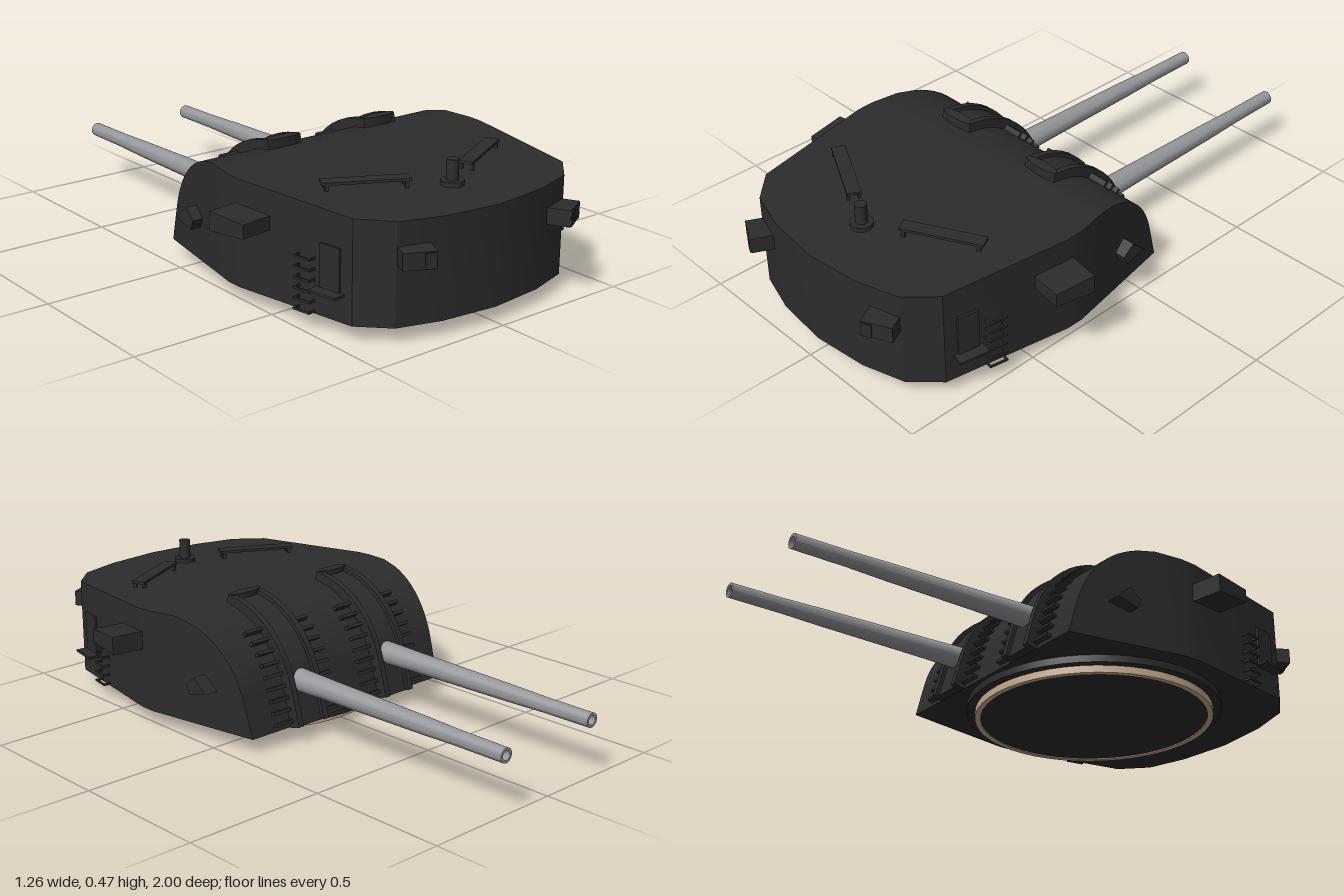
import * as THREE from 'three';
import { toCreasedNormals } from 'three/addons/utils/BufferGeometryUtils.js';

const mat = (name, color) => {
  const m = new THREE.MeshStandardMaterial({ color });
  m.name = name;
  return m;
};

export function createModel() {
  const root = new THREE.Group();
  root.name = 'twinGunTurret';
  const dark = mat('dark armour', 0x2c2c2c);
  const steel = mat('gun steel', 0x96979b);
  const tan = mat('tan ring', 0xc9ad90);
  dark.side = steel.side = tan.side = THREE.DoubleSide;

  const add = (name, geo, x = 0, y = 0, z = 0, parent = root, m = dark) => {
    const mesh = new THREE.Mesh(geo, m);
    mesh.name = name;
    mesh.position.set(x, y, z);
    parent.add(mesh);
    return mesh;
  };
  const box = (w, h, d) => new THREE.BoxGeometry(w, h, d);

  // Curved front face, from the lower lip up to the roof
  const face = new THREE.CatmullRomCurve3([
    [0.05, -0.13], [0.17, -0.095], [0.23, -0.073], [0.295, -0.033],
    [0.355, 0.03], [0.395, 0.11], [0.413, 0.2],
  ].map(([y, z]) => new THREE.Vector3(0, y, z)));

  // Half width of the armour along its length
  const plan = [[-0.13, 0.44], [0.3, 0.518], [0.36, 0.518], [0.81, 0.44],
    [0.9, 0.35], [0.945, 0.2], [0.966, 0]];
  const halfWidth = (z) => {
    const i = Math.max(1, plan.findIndex((p) => z <= p[0]));
    const [a, b] = [plan[i - 1], plan[i]];
    return a[1] + (b[1] - a[1]) * (z - a[0]) / (b[0] - a[0]);
  };

  // Armoured hull, lofted through upright sections
  const stations = face.getPoints(18).map((p) => [p.z, p.y]);
  for (const [z] of plan.slice(1)) stations.push([z, 0.413 - (z - 0.2) * 0.043]);
  const rings = stations.map(([z, y]) => {
    const w = halfWidth(z);
    return [[w, 0.05, z], [w, y, z], [-w, y, z], [-w, 0.05, z]];
  });
  const pos = [];
  for (let i = 0; i < rings.length - 1; i++) {
    for (let k = 0; k < 4; k++) {
      const n = (k + 1) % 4;
      const [a, b, c, d] = [rings[i][k], rings[i][n], rings[i + 1][n], rings[i + 1][k]];
      pos.push(...a, ...b, ...c, ...a, ...c, ...d);
    }
  }
  const hull = new THREE.BufferGeometry();
  hull.setAttribute('position', new THREE.Float32BufferAttribute(pos, 3));
  add('armourHull', toCreasedNormals(hull, 0.4));

  // Turning ring under the hull
  add('ringCollar', new THREE.CylinderGeometry(0.447, 0.447, 0.03, 48), 0, 0.04, 0.33);
  add('turningRing', new THREE.LatheGeometry([[0.398, 0.03], [0.398, 0], [0.418, 0], [0.418, 0.03]]
    .map((p) => new THREE.Vector2(...p)), 48), 0, 0, 0.33, root, tan).geometry =
    toCreasedNormals(new THREE.LatheGeometry([[0.398, 0.03], [0.398, 0], [0.418, 0], [0.418, 0.03]]
      .map((p) => new THREE.Vector2(...p)), 48), 0.6);
  add('ringFloor', new THREE.CylinderGeometry(0.4, 0.4, 0.02, 48), 0, 0.014, 0.33);

  // Strip of the given thickness that follows the front face
  const strip = (width, thick, x) => {
    const outer = [], inner = [];
    for (let i = 0; i <= 16; i++) {
      const p = face.getPointAt(i / 16), t = face.getTangentAt(i / 16);
      outer.push(new THREE.Vector2(p.z - t.y * thick, p.y + t.z * thick));
      inner.unshift(new THREE.Vector2(p.z + t.y * 0.01, p.y - t.z * 0.01));
    }
    const g = new THREE.ExtrudeGeometry(new THREE.Shape([...outer, ...inner]),
      { depth: width, bevelEnabled: false });
    g.rotateY(-Math.PI / 2).translate(x + width / 2, 0, -0.012);
    return toCreasedNormals(g, 0.5);
  };

  // Tapered barrel with a hollow muzzle
  const barrel = toCreasedNormals(new THREE.LatheGeometry([
    [0.041, 0], [0.036, 0.2], [0.03, 0.6], [0.026, 0.75], [0.025, 0.945], [0.016, 0.945], [0.016, 0.8], [0, 0.8],
  ].map((p) => new THREE.Vector2(...p)), 20), 0.6).rotateX(-Math.PI / 2);

  for (const s of [1, -1]) {
    const gun = new THREE.Group();
    gun.name = s > 0 ? 'leftGun' : 'rightGun';
    gun.position.x = s * 0.205;
    root.add(gun);
    add('barrel', barrel, 0, 0.194, -0.055, gun, steel);
    add('gunPortCover', strip(0.11, 0.016, 0));
    gun.add(root.children.pop());
    for (const e of [1, -1]) {
      add('portRail', strip(0.022, 0.03, e * 0.057), 0, 0, 0, gun);
      // Rungs on both sides of the port
      for (let i = 0; i < 9; i++) {
        const u = 0.04 + i * 0.075;
        const p = face.getPointAt(u), t = face.getTangentAt(u);
        const r = add('faceRung', box(0.07, 0.011, 0.022), e * 0.103, p.y + t.z * 0.008, p.z - t.y * 0.008, gun);
        r.rotation.x = Math.atan2(t.z, t.y);
      }
    }
    const cap = add('portRearCap', new THREE.CylinderGeometry(0.068, 0.068, 0.04, 24), 0, 0.423, 0.176, gun);
    cap.scale.z = 0.28;
  }

  // Fittings repeated on both sides
  for (const s of [1, -1]) {
    const tag = s > 0 ? 'left' : 'right';

    // Sight hood, shallower towards the rear
    const hood = box(0.17, 0.064, 0.145);
    const hp = hood.attributes.position;
    for (let i = 0; i < hp.count; i++) {
      if (hp.getZ(i) > 0) hp.setY(i, hp.getY(i) * 0.72);
    }
    hood.computeVertexNormals();
    add(tag + 'SightHood', hood, s * 0.535, 0.295, 0.42).rotation.y = -s * 0.15;

    // Wedge shaped vision port near the front
    const wedge = new THREE.Shape([[0.015, 0.187], [0.068, 0.235], [0.11, 0.2], [0.095, 0.165]]
      .map((p) => new THREE.Vector2(...p)));
    const wg = new THREE.ExtrudeGeometry(wedge, { depth: 0.06, bevelEnabled: false });
    wg.rotateY(-Math.PI / 2).translate(s * 0.49 + 0.03, 0, 0);
    add(tag + 'VisionPort', wg);

    // Rear corner sight box with a small shutter
    const rear = new THREE.Group();
    rear.name = tag + 'RearSight';
    rear.position.set(s * 0.303, 0.278, 0.93);
    rear.rotation.y = s * 0.47;
    root.add(rear);
    add('sightBox', box(0.105, 0.055, 0.1), 0, 0, 0, rear);
    add('shutter', box(0.035, 0.05, 0.006), -s * 0.033, 0, 0.051, rear);

    // Side door, step and ladder along the sloping flank
    const flank = new THREE.Group();
    flank.name = tag + 'FlankAccess';
    flank.position.set(s * halfWidth(0.67), 0, 0.67);
    flank.rotation.y = -s * 0.172;
    root.add(flank);
    add('door', box(0.016, 0.14, 0.075), 0, 0.215, 0.06, flank);
    add('step', box(0.075, 0.008, 0.105), s * 0.006, 0.14, 0.06, flank);
    for (let i = 0; i < 6; i++) {
      const y = 0.058 + i * 0.034;
      add('rung', box(0.006, 0.007, 0.066), s * 0.024, y, -0.035, flank);
      for (const e of [-1, 1]) {
        add('rungBracket', box(0.034, 0.007, 0.006), s * 0.01, y, -0.035 + e * 0.03, flank);
      }
    }

    // Raised roof rail on short legs
    const rail = new THREE.Group();
    rail.name = tag + 'RoofRail';
    rail.position.set(s * 0.24, 0.418, 0.632);
    rail.rotation.y = s * 0.48;
    root.add(rail);
    add('railTop', box(0.28, 0.009, 0.048), 0, 0, 0, rail);
    for (const e of [-1, 1]) {
      for (const f of [-1, 1]) {
        add('railLeg', box(0.012, 0.035, 0.01), e * 0.125, -0.016, f * 0.018, rail);
      }
    }
  }

  // Roof periscope
  add('periscopeBase', new THREE.CylinderGeometry(0.038, 0.038, 0.025, 24), 0, 0.391, 0.76);
  add('periscope', new THREE.CylinderGeometry(0.02, 0.02, 0.09, 20), 0, 0.426, 0.76);

  return root;
}
